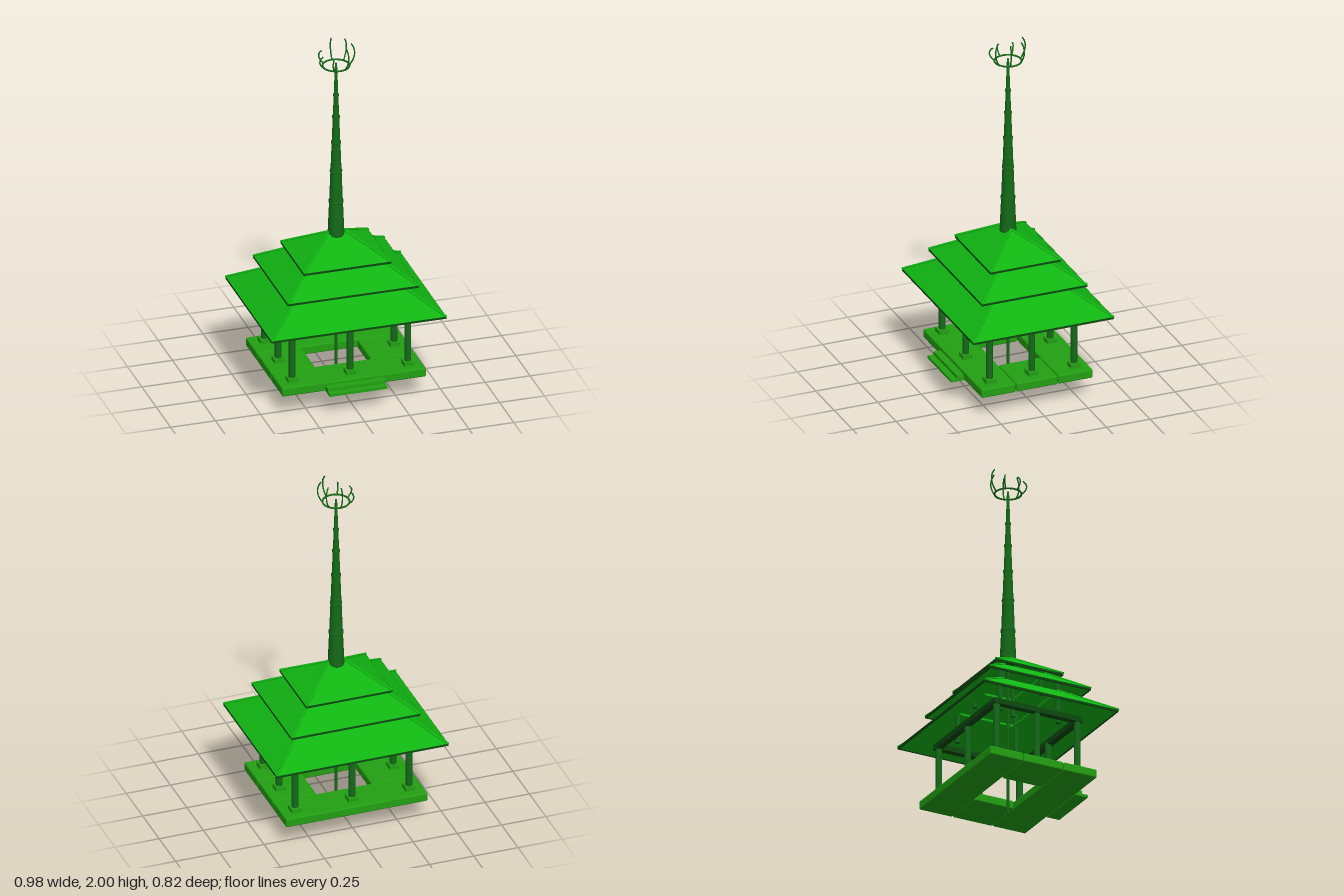
import * as THREE from 'three';
import { RoundedBoxGeometry } from 'three/addons/geometries/RoundedBoxGeometry.js';

const mat = (color, side = THREE.FrontSide) => new THREE.MeshStandardMaterial({ color, side });
const roofMat = mat(0x10b412), floorMat = mat(0x22a012), postMat = mat(0x146a18), beamMat = mat(0x0c4a10);

function add(parent, name, geometry, material, x = 0, y = 0, z = 0) {
  const mesh = new THREE.Mesh(geometry, material);
  mesh.name = name;
  mesh.position.set(x, y, z);
  parent.add(mesh);
  return mesh;
}

const box = (parent, name, w, h, d, material, x, y, z) =>
  add(parent, name, new THREE.BoxGeometry(w, h, d), material, x, y, z);

// Round bar between two points
function bar(parent, name, a, b, r, material) {
  const dir = b.clone().sub(a);
  const mesh = add(parent, name, new THREE.CylinderGeometry(r, r, dir.length(), 10), material);
  mesh.position.copy(a).add(b).multiplyScalar(0.5);
  mesh.quaternion.setFromUnitVectors(new THREE.Vector3(0, 1, 0), dir.normalize());
}

// Hollow hipped roof skirt: rectangular loops joined all round its cross-section
function skirtGeometry(hx, hz, y, inset, rise, thick) {
  const loops = [[hx - inset, hz - inset, y + thick + rise], [hx, hz, y + thick],
    [hx, hz, y], [hx - inset, hz - inset, y + rise]];
  const corner = ([x, z, h], k) => [k === 0 || k === 3 ? -x : x, h, k < 2 ? z : -z];
  const pos = [];
  for (let i = 0; i < 4; i++) {
    for (let k = 0; k < 4; k++) {
      const up = loops[i], low = loops[(i + 1) % 4], n = (k + 1) % 4;
      const a = corner(up, k), b = corner(low, k), c = corner(low, n), d = corner(up, n);
      pos.push(...a, ...b, ...c, ...a, ...c, ...d);
    }
  }
  const g = new THREE.BufferGeometry();
  g.setAttribute('position', new THREE.Float32BufferAttribute(pos, 3));
  g.computeVertexNormals();
  return g;
}

function roofTier(parent, name, hx, hz, y, inset, rise) {
  const tier = new THREE.Group();
  tier.name = name;
  parent.add(tier);
  add(tier, 'roofSkirt', skirtGeometry(hx, hz, y, inset, rise, 0.012), roofMat);
  for (const s of [-1, 1]) {
    // Dark eave boards
    box(tier, 'eaveBoard', 2 * hx, 0.012, 0.008, beamMat, 0, y + 0.006, s * (hz - 0.003));
    box(tier, 'eaveBoard', 0.008, 0.012, 2 * hz, beamMat, s * (hx - 0.003), y + 0.006, 0);
    // Hip ridges
    for (const t of [-1, 1]) {
      bar(tier, 'hipRidge', new THREE.Vector3(s * hx, y + 0.012, t * hz),
        new THREE.Vector3(s * (hx - inset), y + 0.012 + rise, t * (hz - inset)), 0.007, roofMat);
    }
  }
}

// Rectangular frame of beams
function beamFrame(parent, name, hx, hz, y, w, h) {
  for (const s of [-1, 1]) {
    box(parent, name, 2 * hx + w, h, w, beamMat, 0, y, s * hz);
    box(parent, name, w, h, 2 * hz - w, beamMat, s * hx, y, 0);
  }
}

export function createModel() {
  const model = new THREE.Group();
  model.name = 'pavilion';

  // Floor: four slabs around a central opening
  const floor = new THREE.Group();
  floor.name = 'floor';
  model.add(floor);
  for (const s of [-1, 1]) {
    add(floor, 'floorSlab', new RoundedBoxGeometry(0.8, 0.05, 0.198, 2, 0.008), floorMat, 0, 0.145, s * 0.221);
    add(floor, 'sideSlab', new RoundedBoxGeometry(0.245, 0.05, 0.238, 2, 0.008), floorMat, s * 0.2775, 0.145, 0);
  }

  // Front steps
  box(model, 'lowerStep', 0.32, 0.015, 0.075, floorMat, 0, 0.1275, 0.3575);
  box(model, 'upperStep', 0.32, 0.017, 0.04, floorMat, 0, 0.1435, 0.34);

  // Eight columns on square bases
  for (const x of [-0.322, 0, 0.322]) {
    for (const z of [-0.243, 0, 0.243]) {
      if (!x && !z) continue;
      box(model, 'columnBase', 0.056, 0.024, 0.056, floorMat, x, 0.182, z);
      add(model, 'column', new THREE.CylinderGeometry(0.018, 0.018, 0.29, 16), postMat, x, 0.325, z);
    }
  }
  beamFrame(model, 'beam', 0.327, 0.248, 0.471, 0.036, 0.03);

  // Three stacked roofs, held up by short posts
  roofTier(model, 'lowerRoof', 0.485, 0.403, 0.49, 0.24, 0.158);
  roofTier(model, 'middleRoof', 0.363, 0.302, 0.644, 0.18, 0.12);
  roofTier(model, 'upperRoof', 0.242, 0.202, 0.758, 0.2, 0.125);
  for (const s of [-1, 1]) {
    for (const t of [-1, 1]) {
      add(model, 'roofPost', new THREE.CylinderGeometry(0.014, 0.014, 0.24, 12), postMat, s * 0.235, 0.595, t * 0.175);
      add(model, 'roofPost', new THREE.CylinderGeometry(0.012, 0.012, 0.15, 12), postMat, s * 0.155, 0.735, t * 0.115);
    }
  }

  // Central pole and tapering spire with raised bands
  add(model, 'centralPole', new THREE.CylinderGeometry(0.007, 0.007, 0.9, 10), postMat, 0, 0.45, 0);
  const radius = y => 0.045 - (y - 0.87) * 0.039;
  const profile = [[0, 0.868], [0.04, 0.868], [0.045, 0.875]];
  for (const y of [1.07, 1.25, 1.42, 1.57, 1.7]) {
    const r = radius(y);
    profile.push([r, y - 0.008], [r + 0.003, y - 0.005], [r + 0.003, y + 0.005], [r - 0.001, y + 0.008]);
  }
  profile.push([0.007, 1.86], [0.005, 1.885], [0, 1.89]);
  add(model, 'spire', new THREE.LatheGeometry(profile.map(p => new THREE.Vector2(...p)), 24), postMat);

  // Crown ring with seven curved prongs of uneven height
  const ring = add(model, 'crownRing', new THREE.TorusGeometry(0.072, 0.005, 8, 32), postMat, 0, 1.873, 0);
  ring.rotation.x = Math.PI / 2;
  [0.127, 0.127, 0.127, 0.127, 0.075, 0.07, 0.075].forEach((h, i) => {
    const angle = i * Math.PI * 2 / 7;
    const path = new THREE.CatmullRomCurve3([[0.072, 0], [0.09, 0.25], [0.099, 0.55], [0.094, 0.8], [0.08, 1]]
      .map(([r, t]) => new THREE.Vector3(0, 1.873 + t * h, -r)));
    const prong = add(model, 'crownProng', new THREE.TubeGeometry(path, 16, 0.004, 6), postMat);
    prong.rotation.y = -angle;
  });

  return model;
}
